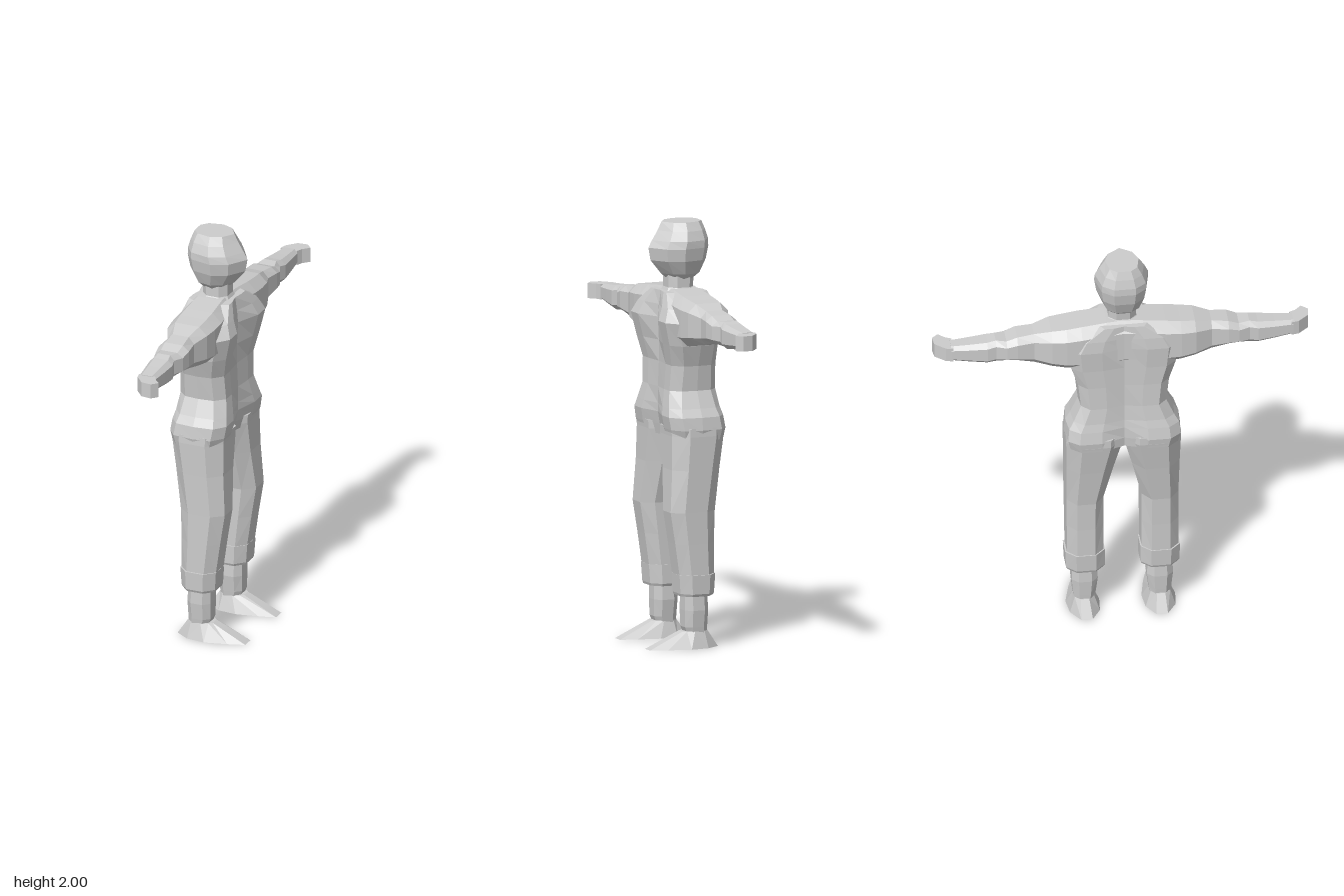
import * as THREE from 'three';

const clothGrey = new THREE.MeshStandardMaterial({ color: 0xcccccc, flatShading: true });
clothGrey.name = 'lightGrey';

// Skin a list of equal-length rings, cap both ends, and turn faces outward.
function loft(name, rings) {
  const tris = [];
  const n = rings[0].length;
  for (let i = 0; i < rings.length - 1; i++) {
    for (let j = 0; j < n; j++) {
      const k = (j + 1) % n;
      const a = rings[i][j], b = rings[i][k], c = rings[i + 1][k], d = rings[i + 1][j];
      tris.push([a, b, c], [a, c, d]);
    }
  }
  const cap = (ring, flip) => {
    const mid = [0, 1, 2].map(q => ring.reduce((s, p) => s + p[q], 0) / n);
    ring.forEach((p, j) => {
      const next = ring[(j + 1) % n];
      tris.push(flip ? [mid, next, p] : [mid, p, next]);
    });
  };
  cap(rings[0], true);
  cap(rings[rings.length - 1], false);
  let volume = 0;
  const v = p => new THREE.Vector3(...p);
  tris.forEach(([a, b, c]) => { volume += v(a).dot(v(b).cross(v(c))); });
  if (volume < 0) tris.forEach(t => t.reverse());
  const geo = new THREE.BufferGeometry();
  geo.setAttribute('position', new THREE.Float32BufferAttribute(tris.flat(2), 3));
  geo.computeVertexNormals();
  const mesh = new THREE.Mesh(geo, clothGrey);
  mesh.name = name;
  return mesh;
}

// Rectangle with cut corners, as [u, v] pairs.
function octagon(u0, u1, v0, v1, cut = 0.25) {
  const a = (u1 - u0) * cut, b = (v1 - v0) * cut;
  return [[u0 + a, v0], [u1 - a, v0], [u1, v0 + b], [u1, v1 - b],
    [u1 - a, v1], [u0 + a, v1], [u0, v1 - b], [u0, v0 + b]];
}

// Sections [y, x0, x1, z0, z1] stacked upward, on side s.
function column(name, sections, s = 1, cut = 0.25) {
  return loft(name, sections.map(([y, x0, x1, z0, z1]) =>
    octagon(x0, x1, z0, z1, cut).map(([x, z]) => [x, y, z * s])));
}

// Close a half outline of [x, z] by mirroring it across z = 0.
function mirrored(half, y) {
  const other = half.filter(p => p[1] > 0).reverse().map(([x, z]) => [x, -z]);
  return [...half, ...other].map(([x, z]) => [x, y, z]);
}

export function createModel() {
  const model = new THREE.Group();
  model.name = 'figure';

  // Torso: [y, front centre x, front x, back x, back centre x, half width]
  const torso = [
    [0.99, 0.04, 0.07, -0.185, -0.15, 0.262],
    [1.04, 0.05, 0.082, -0.192, -0.155, 0.275],
    [1.10, 0.06, 0.092, -0.182, -0.155, 0.268],
    [1.14, 0.06, 0.085, -0.172, -0.15, 0.245],
    [1.22, 0.06, 0.07, -0.162, -0.145, 0.208],
    [1.34, 0.055, 0.064, -0.158, -0.145, 0.222],
    [1.44, 0.055, 0.085, -0.16, -0.145, 0.255],
    [1.55, 0.06, 0.11, -0.168, -0.145, 0.268],
    [1.61, 0.055, 0.085, -0.163, -0.145, 0.23],
    [1.675, 0.045, 0.055, -0.15, -0.14, 0.12],
  ];
  model.add(loft('torso', torso.map(([y, fc, f, b, bc, w]) => mirrored([
    [fc, 0], [f, w * 0.45], [f, w * 0.75], [f - 0.045, w * 0.96], [-0.05, w],
    [b + 0.04, w * 0.97], [b, w * 0.78], [b, w * 0.4], [bc, 0]], y))));

  // Sleeves and shoulders: [z, x0, x1, y0, y1]
  const sleeve = [
    [0.00, -0.15, 0.05, 1.44, 1.69],
    [0.08, -0.155, 0.055, 1.44, 1.685],
    [0.20, -0.16, 0.065, 1.44, 1.672],
    [0.27, -0.16, 0.063, 1.445, 1.663],
    [0.34, -0.15, 0.055, 1.458, 1.655],
    [0.42, -0.113, 0.025, 1.472, 1.632],
    [0.50, -0.12, 0.034, 1.492, 1.622],
    [0.55, -0.115, 0.026, 1.495, 1.603],
    [0.60, -0.1, 0.004, 1.49, 1.608],
    [0.64, -0.105, 0.014, 1.486, 1.6],
    [0.72, -0.096, 0.008, 1.495, 1.592],
    [0.81, -0.085, 0.0, 1.507, 1.585],
  ];
  const leftHalf = sleeve.slice(1);
  const rightHalf = leftHalf.map(([z, ...r]) => [-z, ...r]).reverse();
  model.add(loft('sleevesAndShoulders', [...rightHalf, sleeve[0], ...leftHalf].map(
    ([z, x0, x1, y0, y1]) => octagon(x0, x1, y0, y1, 0.2).map(([x, y]) => [x, y, z]))));

  // Neck
  model.add(column('neck', [
    [1.66, -0.125, 0.035, -0.085, 0.085],
    [1.69, -0.105, 0.02, -0.065, 0.065],
    [1.75, -0.11, 0.02, -0.065, 0.065]]));

  // Head: [y, back x, face x, half width], face drawn to a ridge
  const head = [
    [1.73, -0.11, 0.015, 0.065],
    [1.755, -0.138, 0.045, 0.09],
    [1.82, -0.165, 0.098, 0.118],
    [1.88, -0.176, 0.109, 0.128],
    [1.915, -0.175, 0.09, 0.126],
    [1.96, -0.163, 0.062, 0.106],
    [2.00, -0.148, 0.042, 0.08],
  ];
  model.add(loft('head', head.map(([y, b, f, w]) => {
    const d = f - b;
    return mirrored([[f, 0], [f - d * 0.2, w * 0.72], [f - d * 0.48, w],
      [b + d * 0.15, w * 0.82], [b, w * 0.4]], y);
  })));

  for (const s of [1, -1]) {
    const side = new THREE.Group();
    side.name = s > 0 ? 'leftLimbs' : 'rightLimbs';

    // Hand, curling forward at the fingertips
    const hand = [[-0.085, 0.80], [-0.078, 0.835], [-0.035, 0.885], [0.015, 0.89],
      [0.042, 0.86], [0.012, 0.828], [0.0, 0.80]];
    side.add(loft('hand', [1.51, 1.582].map(y => hand.map(([x, z]) => [x, y, z * s]))));

    // Trouser leg and turned-up cuff
    side.add(column('trouserLeg', [
      [0.34, -0.13, 0.045, 0.09, 0.264],
      [0.50, -0.13, 0.068, 0.09, 0.264],
      [0.65, -0.134, 0.092, 0.09, 0.265],
      [0.85, -0.162, 0.08, 0.042, 0.268],
      [1.01, -0.188, 0.078, 0.0, 0.272],
      [1.05, -0.188, 0.08, 0.0, 0.27]], s));
    side.add(column('cuff', [
      [0.25, -0.125, 0.038, 0.09, 0.262],
      [0.262, -0.13, 0.042, 0.084, 0.268],
      [0.352, -0.135, 0.048, 0.084, 0.272]], s));

    // Ankle
    side.add(column('ankle', [
      [0.07, -0.1, 0.0, 0.13, 0.228],
      [0.10, -0.102, 0.012, 0.126, 0.232],
      [0.18, -0.106, 0.014, 0.116, 0.24],
      [0.27, -0.1, 0.012, 0.122, 0.236]], s));

    // Foot, tapering to a flat toe
    const sole = [[-0.158, 0.15], [-0.158, 0.205], [-0.09, 0.25], [0.0, 0.26],
      [0.11, 0.232], [0.19, 0.205], [0.19, 0.145], [0.11, 0.122], [0.0, 0.1], [-0.09, 0.108]];
    const instep = [[-0.105, 0.16], [-0.105, 0.2], [-0.08, 0.226], [-0.03, 0.23],
      [0.005, 0.215], [0.02, 0.2], [0.02, 0.156], [0.005, 0.142], [-0.03, 0.13], [-0.08, 0.134]];
    side.add(loft('foot', [[sole, 0], [instep, 0.08]].map(
      ([outline, y]) => outline.map(([x, z]) => [x, y, z * s]))));

    model.add(side);
  }
  return model;
}
